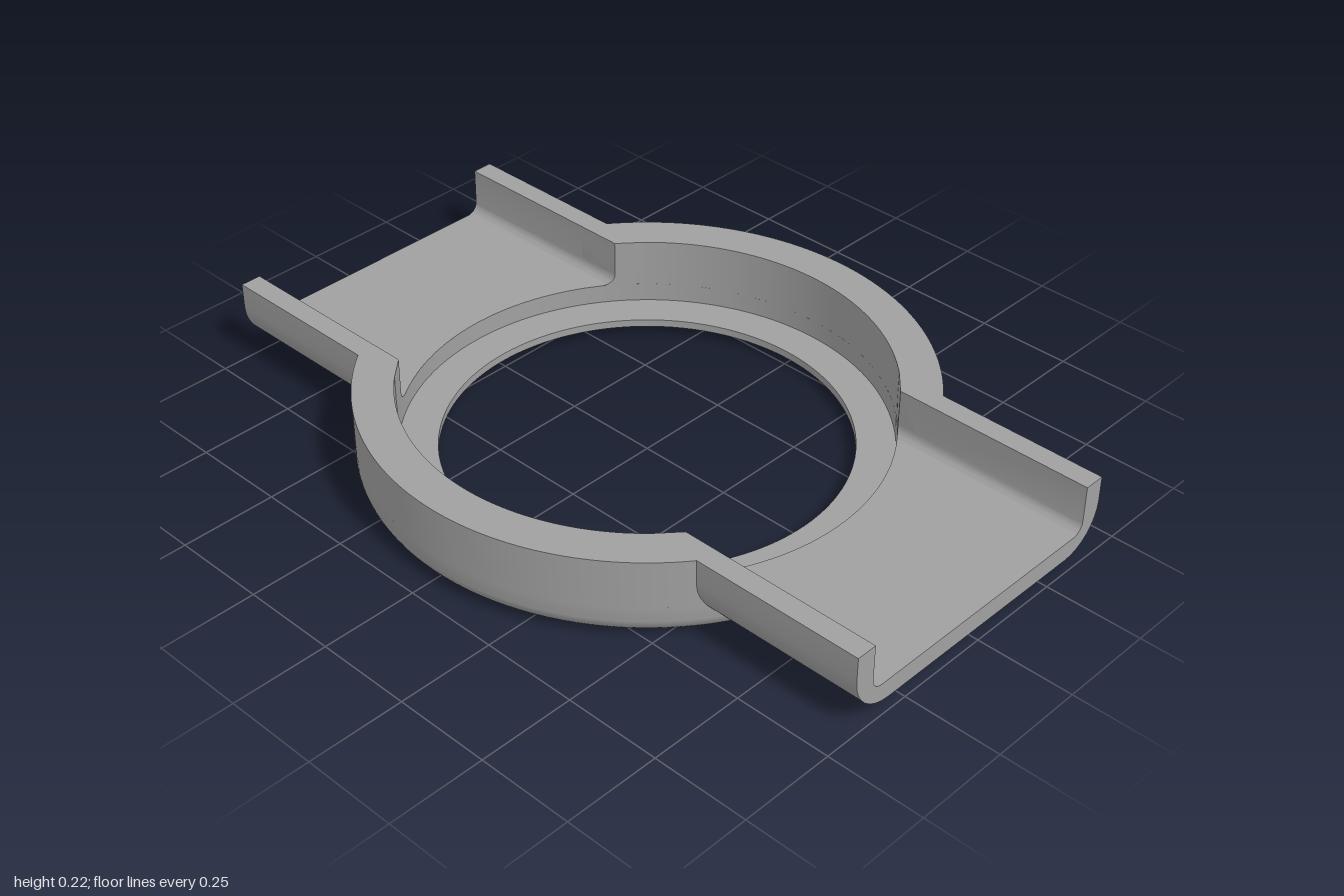
import * as THREE from 'three';
import { toCreasedNormals } from 'three/addons/utils/BufferGeometryUtils.js';

const TOP = 0.215, R_OUT = 0.695, R_IN = 0.595, R_HOLE = 0.5;
const W_IN = 0.365, W_OUT = 0.42, FLOOR = 0.09, UNDER = 0.04;

// U-shaped path from upper left to upper right with rounded lower corners
function uPath(w, y, r) {
  const left = [[-w, TOP]];
  for (let i = 0; i <= 8; i++) {
    const a = Math.PI * (1 + i / 16);
    left.push([-w + r + r * Math.cos(a), y + r + r * Math.sin(a)]);
  }
  const floor = [];
  for (let i = 1; i < 32; i++) floor.push([(w - r) * (i / 16 - 1), y]);
  return [...left, ...floor, ...left.map(([x, v]) => [-x, v]).reverse()];
}

// Channel arm whose inner end follows the round wall of the ring
function armGeometry() {
  const inner = uPath(W_IN, FLOOR, 0.03);
  const outer = uPath(W_OUT, UNDER, 0.11);
  const loop = [...inner, ...outer.slice().reverse()];
  const n = loop.length;
  const pos = [], idx = [];
  for (const [x, y] of loop) pos.push(x, y, Math.sqrt(R_IN * R_IN - x * x));
  for (const [x, y] of loop) pos.push(x, y, 1);
  const quad = (a, b, c, d) => idx.push(a, b, c, a, c, d);
  for (let i = 0; i < n; i++) {
    const j = (i + 1) % n;
    quad(i, i + n, j + n, j);
  }
  // End caps between the inner and outer paths
  for (let i = 0; i < inner.length - 1; i++) {
    const o = n - 1 - i;
    quad(n + i, n + o, n + o - 1, n + i + 1);
    quad(i, i + 1, o - 1, o);
  }
  const g = new THREE.BufferGeometry();
  g.setAttribute('position', new THREE.Float32BufferAttribute(pos, 3));
  g.setIndex(idx);
  return toCreasedNormals(g, 0.5);
}

// Lower ring with inner lip, chamfered hole and rounded outer bottom edge
function baseRingGeometry() {
  const f = 0.06, y = FLOOR - 0.0005;
  const p = [[R_HOLE, UNDER], [R_HOLE, 0.02], [0.55, 0]];
  for (let i = 0; i <= 10; i++) {
    const a = (i / 10) * Math.PI / 2;
    p.push([R_OUT - f + f * Math.sin(a), f - f * Math.cos(a)]);
  }
  p.push([R_OUT, y], [R_IN, y], [R_IN, UNDER], [R_HOLE, UNDER]);
  const g = new THREE.LatheGeometry(p.map(([x, v]) => new THREE.Vector2(x, v)), 128);
  return toCreasedNormals(g, 0.5);
}

// Upper curved wall on one side, cut flush with the channel
function sideWallGeometry() {
  const a = Math.acos(W_IN / R_OUT), b = Math.acos(W_IN / R_IN);
  const s = new THREE.Shape();
  s.absarc(0, 0, R_OUT, -a, a, false);
  s.absarc(0, 0, R_IN, b, -b, true);
  s.closePath();
  const y = FLOOR - 0.0005;
  const g = new THREE.ExtrudeGeometry(s, { depth: TOP - y, bevelEnabled: false, curveSegments: 48 });
  g.rotateX(-Math.PI / 2);
  g.translate(0, y, 0);
  return toCreasedNormals(g, 0.5);
}

export function createModel() {
  const grey = new THREE.MeshStandardMaterial({ color: 0xa0a0a0 });
  grey.name = 'grey';
  const model = new THREE.Group();
  model.name = 'ringBracket';
  const add = (name, geometry, turn = 0) => {
    const m = new THREE.Mesh(geometry, grey);
    m.name = name;
    m.rotation.y = turn;
    model.add(m);
  };

  add('baseRing', baseRingGeometry());
  const wall = sideWallGeometry();
  add('leftWall', wall);
  add('rightWall', wall, Math.PI);
  const arm = armGeometry();
  add('frontChannel', arm);
  add('backChannel', arm, Math.PI);
  return model;
}
